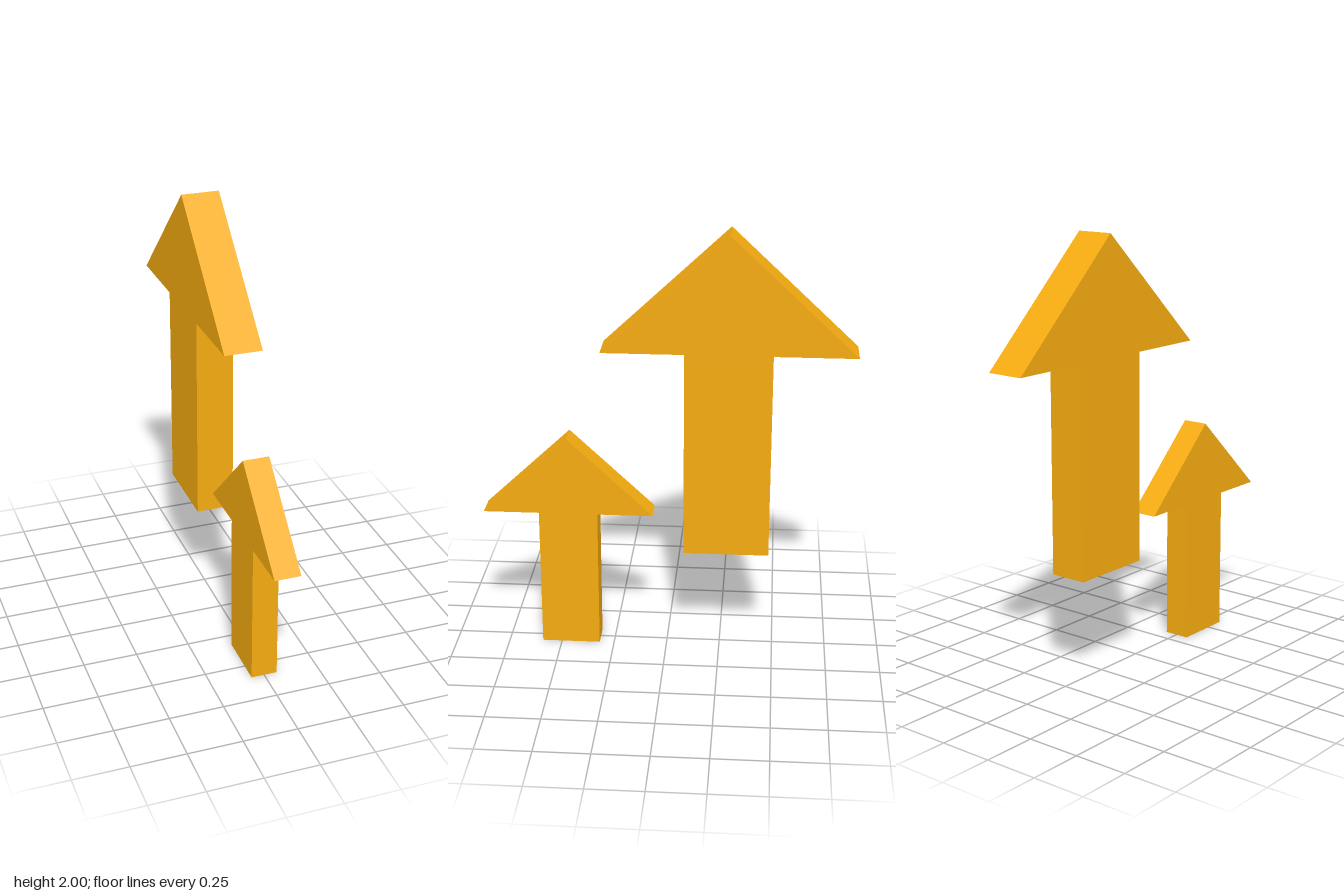
import * as THREE from 'three';

const material = new THREE.MeshStandardMaterial({ color: 0xf5ab10, flatShading: true });

// Upright block arrow in the YZ plane, thickness along x, base at y = 0
function makeArrow(name, { height, neck, headHalf, shaftHalf, thickness }) {
  const shape = new THREE.Shape([
    [-shaftHalf, 0], [shaftHalf, 0], [shaftHalf, neck], [headHalf, neck],
    [0, height], [-headHalf, neck], [-shaftHalf, neck],
  ].map(([x, y]) => new THREE.Vector2(x, y)));
  const geometry = new THREE.ExtrudeGeometry(shape, { depth: thickness, bevelEnabled: false });
  geometry.translate(0, 0, -thickness / 2);
  geometry.rotateY(-Math.PI / 2);
  const mesh = new THREE.Mesh(geometry, material);
  mesh.name = name;
  return mesh;
}

export function createModel() {
  const group = new THREE.Group();
  group.name = 'upArrows';

  // Large raised arrow at the back
  const large = makeArrow('largeArrow', {
    height: 1.5, neck: 0.965, headHalf: 0.57, shaftHalf: 0.196, thickness: 0.175,
  });
  large.position.set(0, 0.5, -0.277);

  // Small arrow at the front
  const small = makeArrow('smallArrow', {
    height: 1.04, neck: 0.67, headHalf: 0.393, shaftHalf: 0.136, thickness: 0.121,
  });
  small.position.set(0, 0, 0.455);

  group.add(large, small);
  return group;
}
